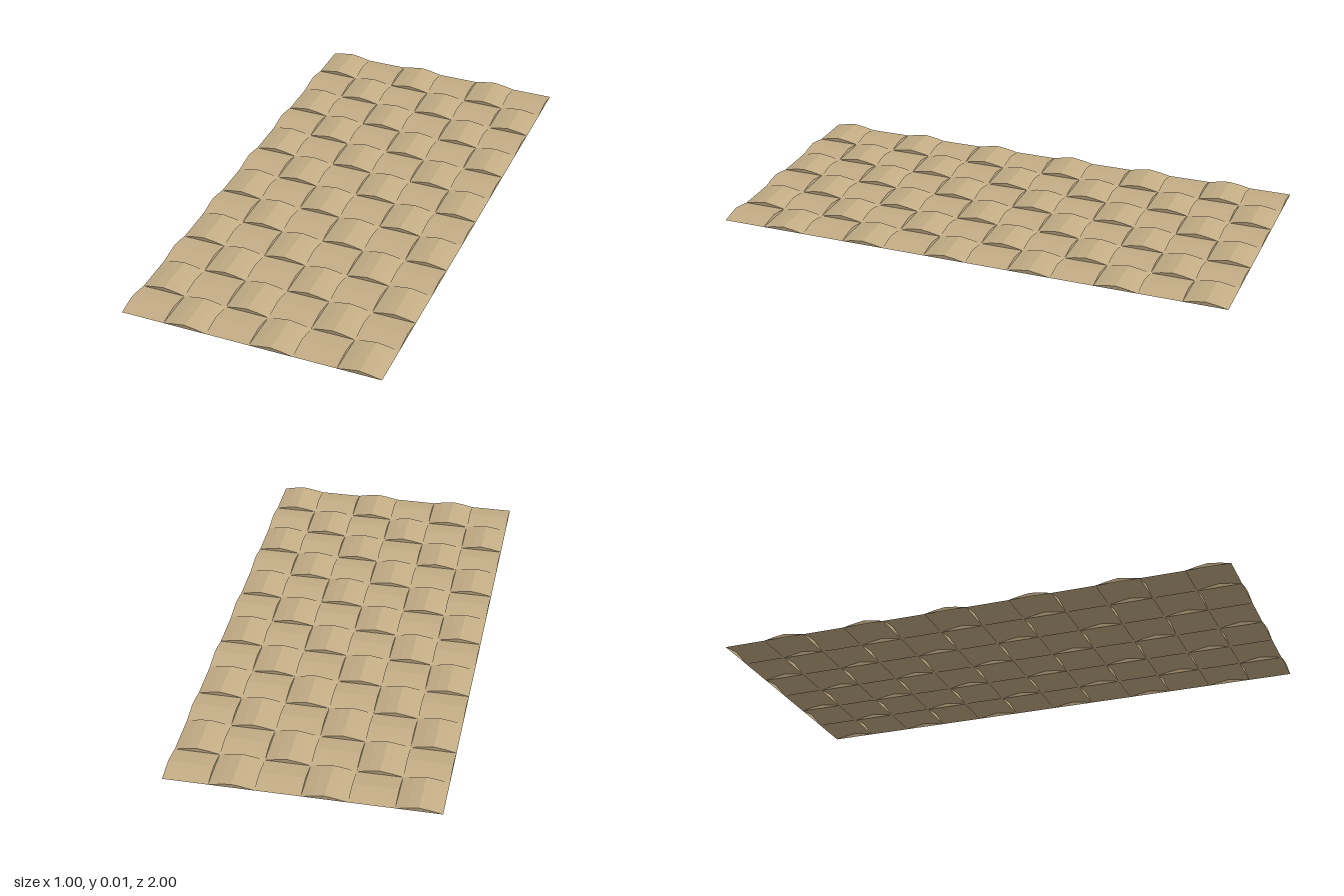
import * as THREE from 'three';
import { mergeGeometries } from 'three/addons/utils/BufferGeometryUtils.js';

const COLS = 6, ROWS = 12, CELL = 1 / 6, HEIGHT = 0.015;

// One raised stretch of strand: an arched sheet with closed ends, open below.
// The arch spans x, its ridge runs along z.
function archGeometry() {
  const h = CELL / 2;
  const profile = [[-1, 0], [-0.5, 0.6], [0, 1], [0.5, 0.6], [1, 0]]
    .map(([x, y]) => [x * h, y * HEIGHT]);
  const pos = [];
  const at = (i, z) => [profile[i][0], profile[i][1], z];
  const tri = (a, b, c) => pos.push(...a, ...b, ...c);
  for (let i = 0; i < profile.length - 1; i++) {
    tri(at(i, h), at(i + 1, h), at(i + 1, -h));
    tri(at(i, h), at(i + 1, -h), at(i, -h));
  }
  for (let i = 1; i < profile.length - 1; i++) {
    tri(at(0, h), at(i + 1, h), at(i, h));
    tri(at(0, -h), at(i, -h), at(i + 1, -h));
  }
  const g = new THREE.BufferGeometry();
  g.setAttribute('position', new THREE.Float32BufferAttribute(pos, 3));
  g.computeVertexNormals();
  return g;
}

export function createModel() {
  const mat = new THREE.Group();
  mat.name = 'wovenMat';
  const material = new THREE.MeshStandardMaterial({
    color: 0xc4ae86, flatShading: true, side: THREE.DoubleSide,
  });

  // Checkerboard of strands passing over each other
  const crossArch = archGeometry();
  const longArch = archGeometry().rotateY(Math.PI / 2);
  const cross = [], long = [];
  for (let i = 0; i < COLS; i++) {
    for (let j = 0; j < ROWS; j++) {
      const isLong = (i + j) % 2 === 1;
      const x = (i + 0.5) * CELL - 0.5, z = (j + 0.5) * CELL - 1;
      (isLong ? long : cross).push((isLong ? longArch : crossArch).clone().translate(x, 0, z));
    }
  }
  for (const [name, tiles] of [['crosswiseStrands', cross], ['lengthwiseStrands', long]]) {
    const mesh = new THREE.Mesh(mergeGeometries(tiles), material);
    mesh.name = name;
    mat.add(mesh);
  }
  return mat;
}
